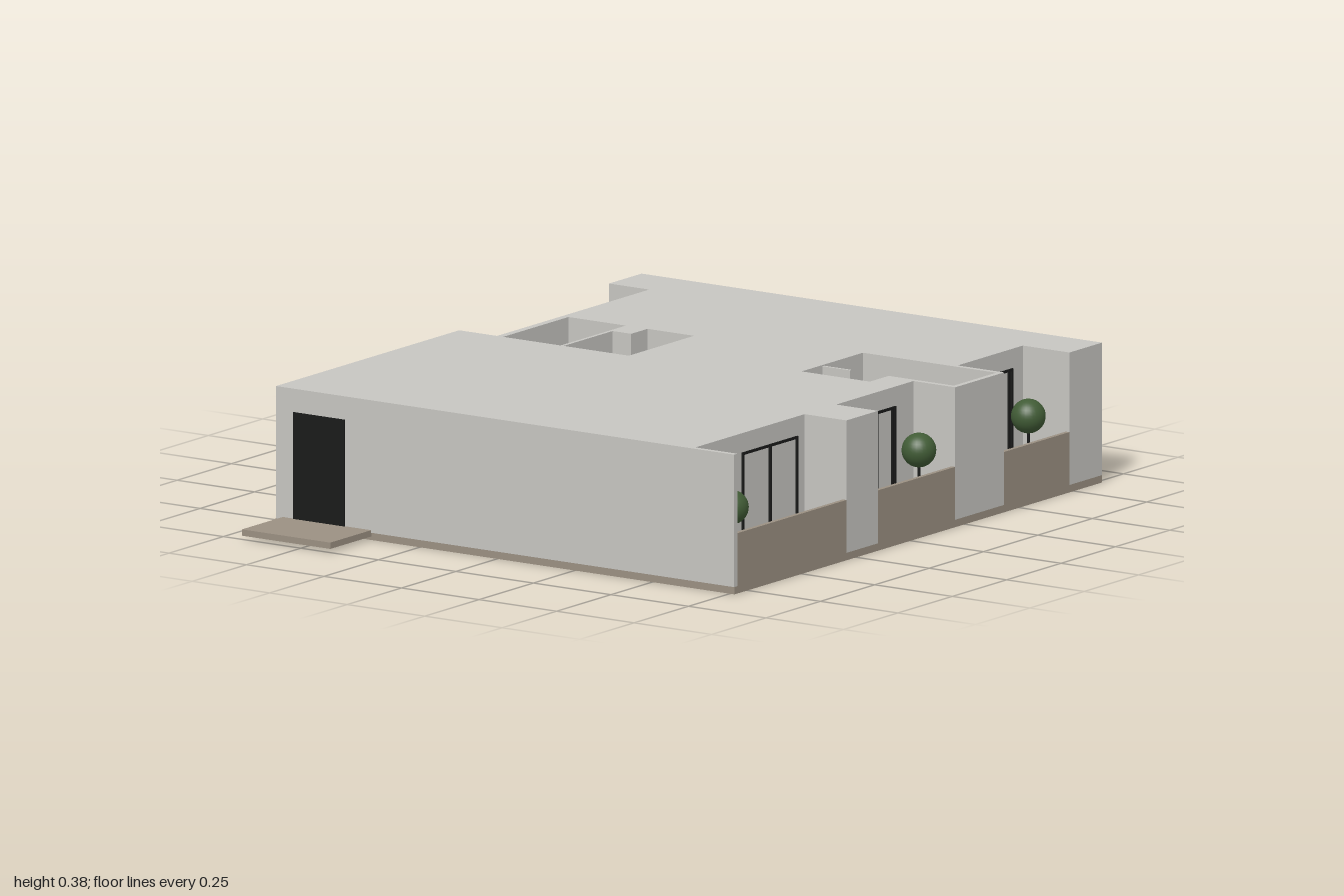
import * as THREE from 'three';

const mat = (name, color) => Object.assign(new THREE.MeshStandardMaterial({ color }), { name });

export function createModel() {
  const wall = mat('wall grey', 0xc6c5c1);
  const stone = mat('stone brown', 0x9b9082);
  const black = mat('frame black', 0x191a19);
  const green = mat('leaf green', 0x415c36);

  const root = new THREE.Group();
  root.name = 'apartment';

  const box = (name, m, x0, x1, y0, y1, z0, z1, parent = root) => {
    const mesh = new THREE.Mesh(new THREE.BoxGeometry(x1 - x0, y1 - y0, z1 - z0), m);
    mesh.position.set((x0 + x1) / 2, (y0 + y1) / 2, (z0 + z1) / 2);
    mesh.name = name;
    parent.add(mesh);
    return mesh;
  };
  // Extrude a floor plan given as [x, z] points between two heights
  const plan = (name, m, pts, y0, y1, holes = []) => {
    const toVec = (list) => list.map(([x, z]) => new THREE.Vector2(x, z));
    const shape = new THREE.Shape(toVec(pts));
    holes.forEach((h) => shape.holes.push(new THREE.Path(toVec(h))));
    const geo = new THREE.ExtrudeGeometry(shape, { depth: y1 - y0, bevelEnabled: false });
    geo.rotateX(Math.PI / 2).translate(0, y1, 0);
    const mesh = new THREE.Mesh(geo, m);
    mesh.name = name;
    root.add(mesh);
  };

  // Base slab and thin paving slabs
  box('baseSlab', stone, -0.81, 0.88, 0, 0.02, -0.715, 0.765);
  box('entranceSlab', stone, -1, -0.81, 0.01, 0.027, -0.69, -0.405);
  box('sideTerrace', stone, 0.88, 1, 0.008, 0.024, -0.57, -0.19);

  // Main volume with open balconies cut into front and back
  const outline = [
    [-0.812, -0.712], [0.03, -0.712], [0.03, -0.59], [0.73, -0.59], [0.73, -0.72], [0.88, -0.72],
    [0.88, 0.765], [0.73, 0.765], [0.73, 0.615], [0.43, 0.615], [0.43, 0.765],
    [0.205, 0.765], [0.205, 0.63], [-0.15, 0.63], [-0.15, 0.765],
    [-0.295, 0.765], [-0.295, 0.63], [-0.797, 0.63], [-0.797, 0.765], [-0.812, 0.765],
  ];
  // Sunken areas in the roof
  const wells = [
    [[0.03, -0.57], [0.33, -0.57], [0.33, -0.385], [0.03, -0.385]],
    [[0.03, -0.375], [0.255, -0.375], [0.255, -0.315], [0.33, -0.315], [0.33, -0.165], [0.03, -0.165]],
    [[0.133, 0.32], [0.415, 0.32], [0.415, 0.75], [0.22, 0.75], [0.22, 0.54], [0.133, 0.54]],
  ];
  plan('walls', wall, outline, 0.02, 0.3);
  plan('roof', wall, outline, 0.3, 0.378, wells);
  box('wellDivider', wall, 0.228, 0.236, 0.3, 0.375, 0.32, 0.41);

  // Front balcony parapets and floors
  [[-0.797, -0.295, 0.63], [-0.15, 0.205, 0.63], [0.43, 0.73, 0.615]].forEach(([x0, x1, z]) => {
    box('frontParapet', stone, x0, x1, 0.01, 0.163, 0.753, 0.765);
    box('frontBalconyFloor', stone, x0, x1, 0.02, 0.024, z, 0.753);
  });

  // Rear balcony
  box('rearBalconyFloor', stone, 0.03, 0.43, 0.015, 0.028, -0.768, -0.59);
  box('rearParapet', stone, 0.03, 0.43, 0.02, 0.163, -0.77, -0.76);
  box('rearParapetSide', stone, 0.42, 0.43, 0.02, 0.163, -0.76, -0.59);
  box('rearParapetSide', stone, 0.03, 0.04, 0.02, 0.163, -0.76, -0.712);

  // Utility recess with louvre fins and two cooling units
  box('utilityFloor', stone, 0.43, 0.73, 0.015, 0.026, -0.72, -0.59);
  for (let i = 0; i < 7; i++) {
    const x = 0.452 + i * 0.044;
    box('louvreFin', wall, x, x + 0.005, 0.02, 0.14, -0.72, -0.65);
  }
  [0.442, 0.552].forEach((x) => box('coolingUnit', wall, x, x + 0.104, 0.026, 0.11, -0.64, -0.602));

  // Side balcony with a long outer screen
  box('sideBalconyFloor', stone, 0.88, 0.985, 0.005, 0.024, -0.19, 0.18);
  box('sideScreen', stone, 0.983, 1, 0, 0.165, -0.18, 0.31);
  box('sideParapet', stone, 0.88, 0.985, 0.01, 0.163, -0.19, -0.18);
  box('sideParapet', stone, 0.88, 0.985, 0.01, 0.163, 0.17, 0.18);

  // Window frames; built facing +z, then turned to the wall they sit on
  const T = 0.007;
  const frame = (name, side, at, a0, a1, y0, y1, bars = []) => {
    const g = new THREE.Group();
    g.name = name;
    [a0, ...bars, a1 - T].forEach((a) => box('frameUpright', black, a, a + T, y0, y1, -0.004, 0.005, g));
    [y0, y1 - T].forEach((y) => box('frameRail', black, a0, a1, y, y + T, -0.004, 0.004, g));
    if (side === 'front') g.position.z = at;
    if (side === 'back') { g.position.z = at; }
    if (side === 'side') { g.rotation.y = -Math.PI / 2; g.position.x = at; }
    root.add(g);
    return g;
  };
  frame('frontWindow', 'front', 0.63, -0.585, -0.33, 0.024, 0.326, [-0.46]);
  frame('frontWindow', 'front', 0.63, -0.055, 0.12, 0.024, 0.326, [0.03, 0.103]);
  frame('frontWindow', 'front', 0.615, 0.49, 0.68, 0.024, 0.326, [0.503, 0.586, 0.658]);
  frame('balconyReturnWindow', 'side', 0.43, 0.655, 0.735, 0.13, 0.285);
  frame('sideWindow', 'side', 0.88, 0.53, 0.6, 0.13, 0.285);
  frame('sideDoor', 'side', 0.88, -0.073, 0.123, 0.024, 0.326, [0.02]);
  frame('sideWindow', 'side', 0.88, -0.542, -0.285, 0.13, 0.285, [-0.48, -0.355]);
  frame('rearWindow', 'back', -0.712, -0.14, -0.03, 0.13, 0.285);
  frame('rearDoor', 'back', -0.59, 0.07, 0.2, 0.028, 0.285);

  // Entrance door
  box('entranceDoor', black, -0.816, -0.811, 0.027, 0.315, -0.655, -0.49);

  // Ball-shaped potted trees
  [[-0.717, 0.69], [0.145, 0.69], [0.655, 0.685], [0.93, 0.11]].forEach(([x, z]) => {
    const tree = new THREE.Group();
    tree.name = 'pottedTree';
    const add = (name, geo, m, y) => {
      const mesh = new THREE.Mesh(geo, m);
      mesh.name = name;
      mesh.position.y = y;
      tree.add(mesh);
    };
    add('crown', new THREE.SphereGeometry(0.046, 28, 18), green, 0.21);
    add('trunk', new THREE.CylinderGeometry(0.004, 0.004, 0.1, 8), black, 0.125);
    add('pot', new THREE.CylinderGeometry(0.028, 0.022, 0.055, 16), black, 0.051);
    tree.position.set(x, 0, z);
    root.add(tree);
  });

  return root;
}
